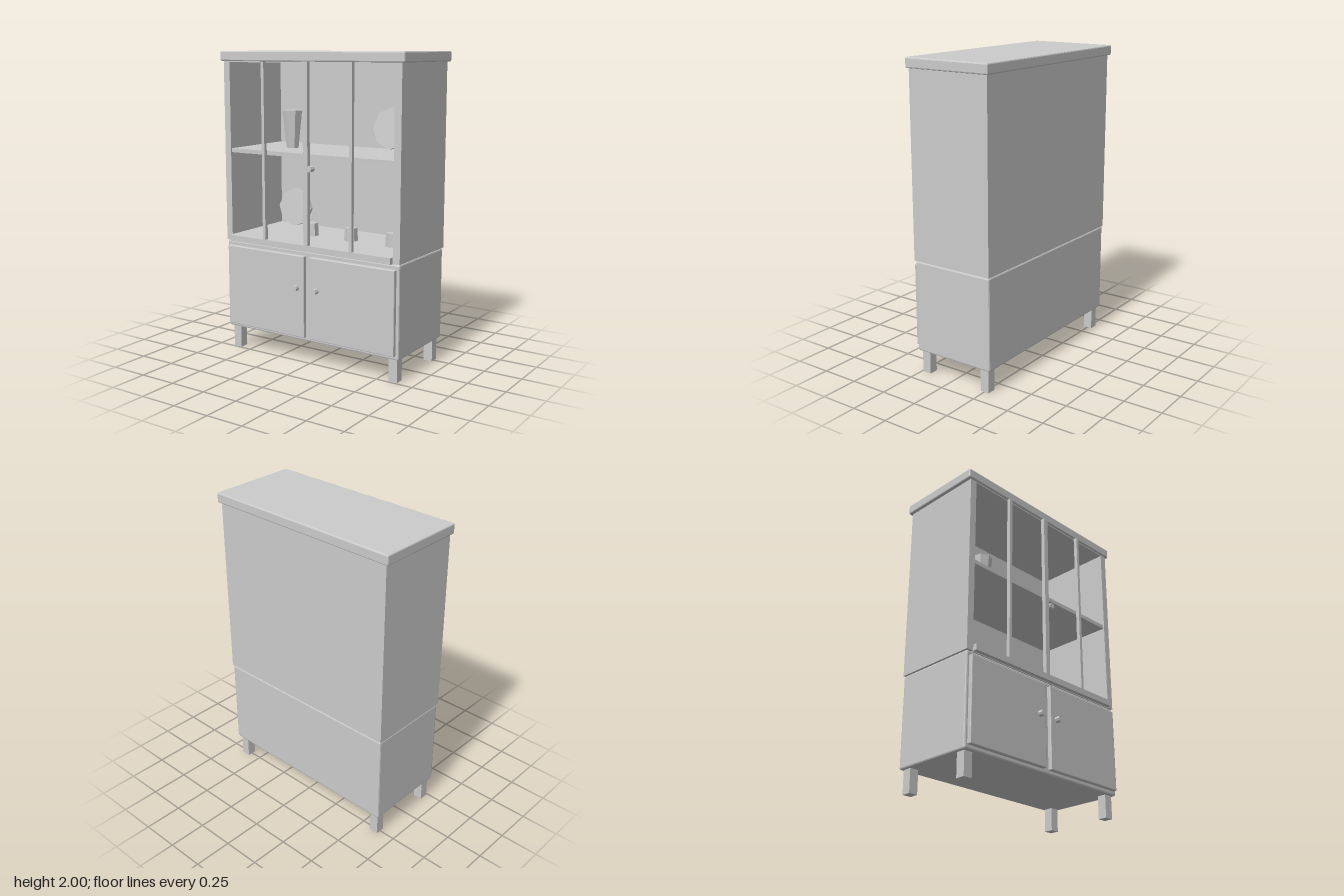
import * as THREE from 'three';
import { RoundedBoxGeometry } from 'three/addons/geometries/RoundedBoxGeometry.js';

const grey = new THREE.MeshStandardMaterial({ color: 0xcccccc, flatShading: true });

export function createModel() {
  const model = new THREE.Group();

  const add = (name, geometry, x = 0, y = 0, z = 0) => {
    const mesh = new THREE.Mesh(geometry, grey);
    mesh.name = name;
    mesh.position.set(x, y, z);
    model.add(mesh);
    return mesh;
  };

  // Box given by its limits on each axis; an optional radius softens its edges
  const box = (name, [x0, x1], [y0, y1], [z0, z1], radius = 0) => {
    const size = [x1 - x0, y1 - y0, z1 - z0];
    const geometry = radius
      ? new RoundedBoxGeometry(...size, 1, radius)
      : new THREE.BoxGeometry(...size);
    return add(name, geometry, (x0 + x1) / 2, (y0 + y1) / 2, (z0 + z1) / 2);
  };

  // Round knob whose axis points to the front
  const knob = (name, x, y, z0, z1) => {
    const geometry = new THREE.CylinderGeometry(0.02, 0.02, z1 - z0, 8).rotateX(Math.PI / 2);
    add(name, geometry, x, y, (z0 + z1) / 2);
  };

  // Top slab and lower cupboard
  box('topSlab', [-0.685, 0.685], [1.935, 2], [-0.322, 0.278], 0.008);
  box('lowerCupboard', [-0.66, 0.66], [0.15, 0.747], [-0.303, 0.262], 0.01);

  // Upper display case, open at the front
  box('backPanel', [-0.664, 0.664], [0.75, 1.935], [-0.305, -0.283]);
  box('caseFloor', [-0.617, 0.617], [0.745, 0.79], [-0.283, 0.266]);
  box('caseCeiling', [-0.617, 0.617], [1.928, 1.936], [-0.283, 0.266]);
  box('shelf', [-0.617, 0.617], [1.341, 1.367], [-0.283, 0.26]);

  // Front frame of the display case
  box('frameRail', [-0.614, 0.614], [0.75, 0.79], [0.262, 0.294]);
  box('centrePost', [-0.017, 0.017], [0.79, 1.935], [0.267, 0.294]);
  knob('caseKnob', 0.035, 1.28, 0.267, 0.308);

  for (const s of [-1, 1]) {
    const span = (a, b) => (s > 0 ? [a, b] : [-b, -a]);
    box('casePanel', span(0.617, 0.664), [0.75, 1.935], [-0.283, 0.267]);
    box('glazingBar', span(0.32, 0.341), [0.79, 1.935], [0.267, 0.292]);
    // Cupboard doors with knobs
    box('cupboardDoor', span(0.021, 0.64), [0.177, 0.717], [0.255, 0.288], 0.005);
    knob('doorKnob', s * 0.075, 0.506, 0.287, 0.322);
    // Legs
    for (const z of [0.21, -0.252]) {
      box('leg', span(0.58, 0.64), [0, 0.155], [z - 0.03, z + 0.03]);
    }
  }

  // Vase on the shelf
  add('vase', new THREE.CylinderGeometry(0.068, 0.041, 0.248, 7), -0.308, 1.491, 0);

  // Cups on the case floor
  for (const x of [-0.155, 0.153, 0.46]) {
    add('cup', new THREE.CylinderGeometry(0.04, 0.045, 0.085, 6), x, 0.8325, 0);
  }

  // Plates leaning towards the back panel
  for (const [x, y] of [[-0.465, 0.915], [0.306, 1.505]]) {
    const plate = add('plate', new THREE.CylinderGeometry(0.137, 0.137, 0.02, 8).rotateX(Math.PI / 2), x, y, -0.245);
    plate.rotation.x = -0.12;
  }

  return model;
}
